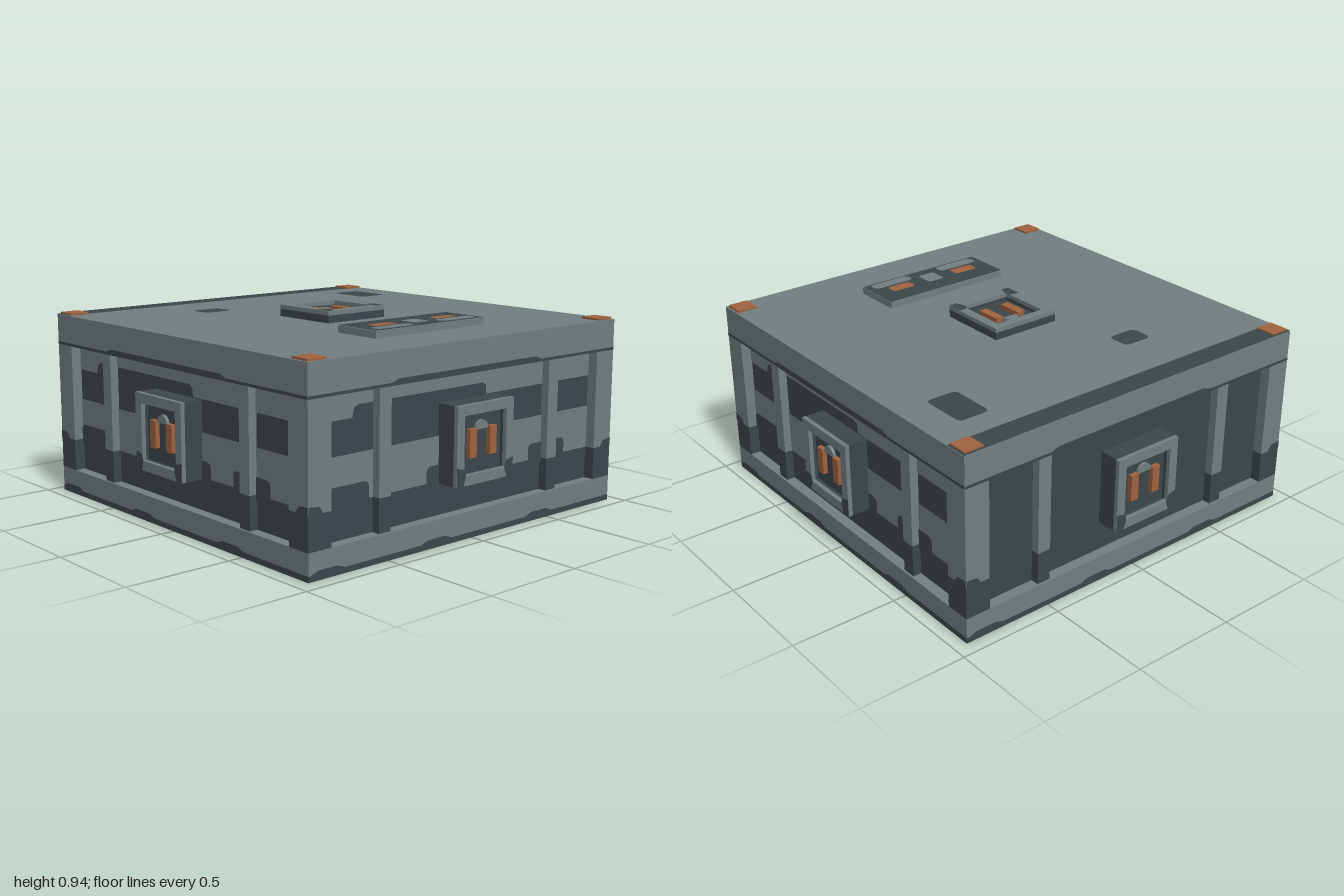
import * as THREE from 'three';

const paintMat = (name, color) => {
  const m = new THREE.MeshStandardMaterial({ color });
  m.name = name;
  return m;
};

export function createModel() {
  const light = paintMat('light grey', 0x737f82);
  const dark = paintMat('dark slate', 0x3c474b);
  const copper = paintMat('copper', 0xa0633f);
  const model = new THREE.Group();
  model.name = 'armourBlock';

  const add = (parent, name, geo, mat, x = 0, y = 0, z = 0) => {
    const m = new THREE.Mesh(geo, mat);
    m.name = name;
    m.position.set(x, y, z);
    parent.add(m);
    return m;
  };
  // box given by its limits on each axis
  const box = (parent, name, mat, x0, x1, y0, y1, z0, z1) =>
    add(parent, name, new THREE.BoxGeometry(x1 - x0, y1 - y0, z1 - z0), mat,
      (x0 + x1) / 2, (y0 + y1) / 2, (z0 + z1) / 2);
  // rectangle outline with rounded corners
  const rect = (x0, x1, y0, y1, r = 0) => {
    const s = new THREE.Shape();
    if (r === 0) {
      return s.moveTo(x0, y0).lineTo(x1, y0).lineTo(x1, y1).lineTo(x0, y1).closePath();
    }
    s.moveTo(x0 + r, y0).lineTo(x1 - r, y0).quadraticCurveTo(x1, y0, x1, y0 + r);
    s.lineTo(x1, y1 - r).quadraticCurveTo(x1, y1, x1 - r, y1);
    s.lineTo(x0 + r, y1).quadraticCurveTo(x0, y1, x0, y1 - r);
    s.lineTo(x0, y0 + r).quadraticCurveTo(x0, y0, x0 + r, y0);
    return s;
  };
  const poly = (...p) => new THREE.Shape(p.map(([x, y]) => new THREE.Vector2(x, y)));
  const paint = (parent, name, shape, mat, z) =>
    add(parent, name, new THREE.ShapeGeometry(shape, 6), mat, 0, 0, z);
  // square ring, extruded along z
  const ring = (outer, inner, depth) => {
    const s = rect(-outer, outer, -outer, outer);
    s.holes.push(rect(-inner, inner, -inner, inner));
    return new THREE.ExtrudeGeometry(s, { depth, bevelEnabled: false });
  };

  // Body: core, roof slab and hollow base
  box(model, 'core', dark, -0.89, 0.89, 0.1, 0.75, -0.89, 0.89);
  box(model, 'roofSlab', light, -0.94, 0.94, 0.735, 0.88, -0.94, 0.94);
  const ringUp = (name, mat, outer, inner, y0, y1) => {
    add(model, name, ring(outer, inner, y1 - y0), mat, 0, y1, 0).rotation.x = Math.PI / 2;
  };
  ringUp('baseSkirt', dark, 0.94, 0.27, 0.004, 0.03);
  ringUp('baseSlab', light, 0.94, 0.25, 0.03, 0.125);
  ringUp('hatchFrame', light, 0.27, 0.25, 0.002, 0.03);
  box(model, 'hatchFloor', dark, -0.26, 0.26, 0.055, 0.1, -0.26, 0.26);

  // Corner posts, roof corner pads and hatch bolts
  for (const sx of [-1, 1]) {
    for (const sz of [-1, 1]) {
      const post = (name, mat, y0, y1) =>
        add(model, name, new THREE.BoxGeometry(0.12, y1 - y0, 0.12), mat, sx * 0.88, (y0 + y1) / 2, sz * 0.88);
      post('cornerPostFoot', dark, 0.125, 0.275);
      post('cornerPost', light, 0.275, 0.735);
      add(model, 'cornerPad', new THREE.BoxGeometry(0.095, 0.02, 0.095), copper, sx * 0.882, 0.88, sz * 0.88);
      add(model, 'hatchBolt', new THREE.CylinderGeometry(0.022, 0.017, 0.04, 10), copper, sx * 0.248, 0.02, sz * 0.248);
    }
  }

  // Framed connector facing local +z, its front at z = 0
  const connector = () => {
    const g = new THREE.Group();
    g.name = 'connector';
    add(g, 'connectorHousing', ring(0.175, 0.13, 0.09), dark, 0, 0, -0.11);
    add(g, 'connectorFrame', ring(0.175, 0.13, 0.02), light, 0, 0, -0.02);
    box(g, 'connectorFloor', dark, -0.132, 0.132, -0.132, 0.132, -0.1, -0.035);
    for (const s of [-1, 1]) {
      add(g, 'contactBar', new THREE.BoxGeometry(0.042, 0.125, 0.025), copper, s * 0.062, 0, -0.025);
      paint(g, 'frameCornerPaint', s < 0
        ? poly([-0.175, -0.175], [-0.135, -0.175], [-0.12, -0.13], [-0.13, -0.1], [-0.175, -0.09])
        : poly([0.175, -0.175], [0.175, -0.09], [0.13, -0.1], [0.12, -0.13], [0.135, -0.175]), dark, 0.002);
    }
    const dome = new THREE.Shape();
    dome.moveTo(-0.037, 0.055).lineTo(0.037, 0.055).absarc(0, 0.057, 0.037, 0, Math.PI);
    add(g, 'contactDome', new THREE.ExtrudeGeometry(dome, { depth: 0.015, bevelEnabled: false }), light, 0, 0, -0.036);
    return g;
  };

  // Four walls, the back one with a plain dark panel
  for (let i = 0; i < 4; i++) {
    const wall = new THREE.Group();
    wall.name = ['frontWall', 'rightSideWall', 'backWall', 'leftSideWall'][i];
    wall.rotation.y = i * Math.PI / 2;
    model.add(wall);

    if (i !== 2) {
      paint(wall, 'upperBand', poly([-0.82, 0.62], [-0.67, 0.62], [-0.66, 0.66], [-0.64, 0.672], [0.09, 0.672],
        [0.11, 0.66], [0.115, 0.62], [0.82, 0.62], [0.82, 0.735], [-0.82, 0.735]), light, 0.893);
      paint(wall, 'middleBand', rect(-0.82, 0.82, 0.275, 0.475), light, 0.893);
      for (const [a, b, y] of [[-0.84, -0.58, 0.35], [-0.25, -0.16, 0.35], [0.16, 0.24, 0.35], [0.4, 0.65, 0.35]]) {
        paint(wall, 'lowerBlotch', rect(a < -0.8 ? -0.82 : a, b, 0.25, y, 0.03), dark, 0.896);
      }
    }
    for (const s of [-1, 1]) {
      const x = s * 0.522;
      box(wall, 'strutFoot', dark, x - 0.033, x + 0.033, 0.12, 0.275, 0.88, 0.93);
      box(wall, 'strut', light, x - 0.033, x + 0.033, 0.275, 0.74, 0.88, 0.93);
      paint(wall, 'postBlotch', s < 0
        ? poly([-0.94, 0.27], [-0.86, 0.27], [-0.885, 0.305], [-0.94, 0.31])
        : poly([0.94, 0.27], [0.94, 0.31], [0.885, 0.305], [0.86, 0.27]), dark, 0.942);
    }
    paint(wall, 'roofEdgePaint', poly([-0.94, 0.735], [0.94, 0.735], [0.94, 0.748], [0.42, 0.748], [0.38, 0.762],
      [-0.46, 0.762], [-0.5, 0.748], [-0.94, 0.748]), dark, 0.942);
    for (const x of [-0.84, -0.23, 0.43]) {
      paint(wall, 'skirtBlotch', poly([x - 0.1, 0.028], [x + 0.1, 0.028], [x + 0.05, 0.046], [x - 0.05, 0.046]), dark, 0.942);
    }
    const c = connector();
    c.position.set(0, 0.44, 1);
    wall.add(c);
  }

  // Roof details: local y points to the back
  const roof = new THREE.Group();
  roof.name = 'roof';
  roof.rotation.x = -Math.PI / 2;
  roof.position.y = 0.88;
  model.add(roof);
  const roofConnector = connector();
  roofConnector.position.z = 0.055;
  roof.add(roofConnector);
  paint(roof, 'rearStripe', rect(-0.94, 0.94, 0.83, 0.94), dark, 0.003);
  paint(roof, 'smallPatch', rect(-0.39, -0.24, 0.475, 0.59, 0.03), dark, 0.003);
  paint(roof, 'largePatch', rect(0.63, 0.785, 0.475, 0.705, 0.03), dark, 0.003);
  box(roof, 'console', light, -0.335, 0.335, -0.667, -0.425, -0.01, 0.032);
  paint(roof, 'consoleTop', rect(-0.335, 0.335, -0.667, -0.425), dark, 0.034);
  paint(roof, 'consoleCentre', rect(-0.044, 0.044, -0.61, -0.514, 0.012), light, 0.037);
  for (const s of [-1, 1]) {
    const x = s * 0.188, p = s * 0.195;
    paint(roof, 'consoleKey', rect(x - 0.063, x + 0.063, -0.58, -0.518, 0.02), copper, 0.037);
    paint(roof, 'consolePill', rect(p - 0.11, p + 0.11, -0.654, -0.595, 0.028), light, 0.037);
  }

  // Underside paint: local y points to the front
  const under = new THREE.Group();
  under.name = 'underside';
  under.rotation.x = Math.PI / 2;
  under.position.y = 0.004;
  model.add(under);
  const field = poly([-0.94, -0.94], [0.94, -0.94], [0.94, 0.23], [0.3, 0.23], [0.3, -0.28], [-0.48, -0.28],
    [-0.48, -0.23], [-0.94, -0.23]);
  field.holes.push(rect(-0.42, 0.24, -0.66, -0.3, 0.04));
  paint(under, 'rearField', field, light, 0.001);
  paint(under, 'frontPatch', rect(-0.43, 0.31, 0.275, 0.53, 0.05), light, 0.001);
  paint(under, 'frontSlot', rect(-0.25, -0.05, 0.43, 0.49, 0.025), dark, 0.002);
  paint(under, 'rearSlot', rect(-0.28, -0.08, -0.81, -0.75, 0.025), dark, 0.002);
  paint(under, 'innerPatch', rect(0.36, 0.58, -0.65, -0.44, 0.04), dark, 0.002);
  paint(under, 'outerPatch', rect(-0.88, -0.66, -0.68, -0.46, 0.04), dark, 0.002);

  return model;
}
